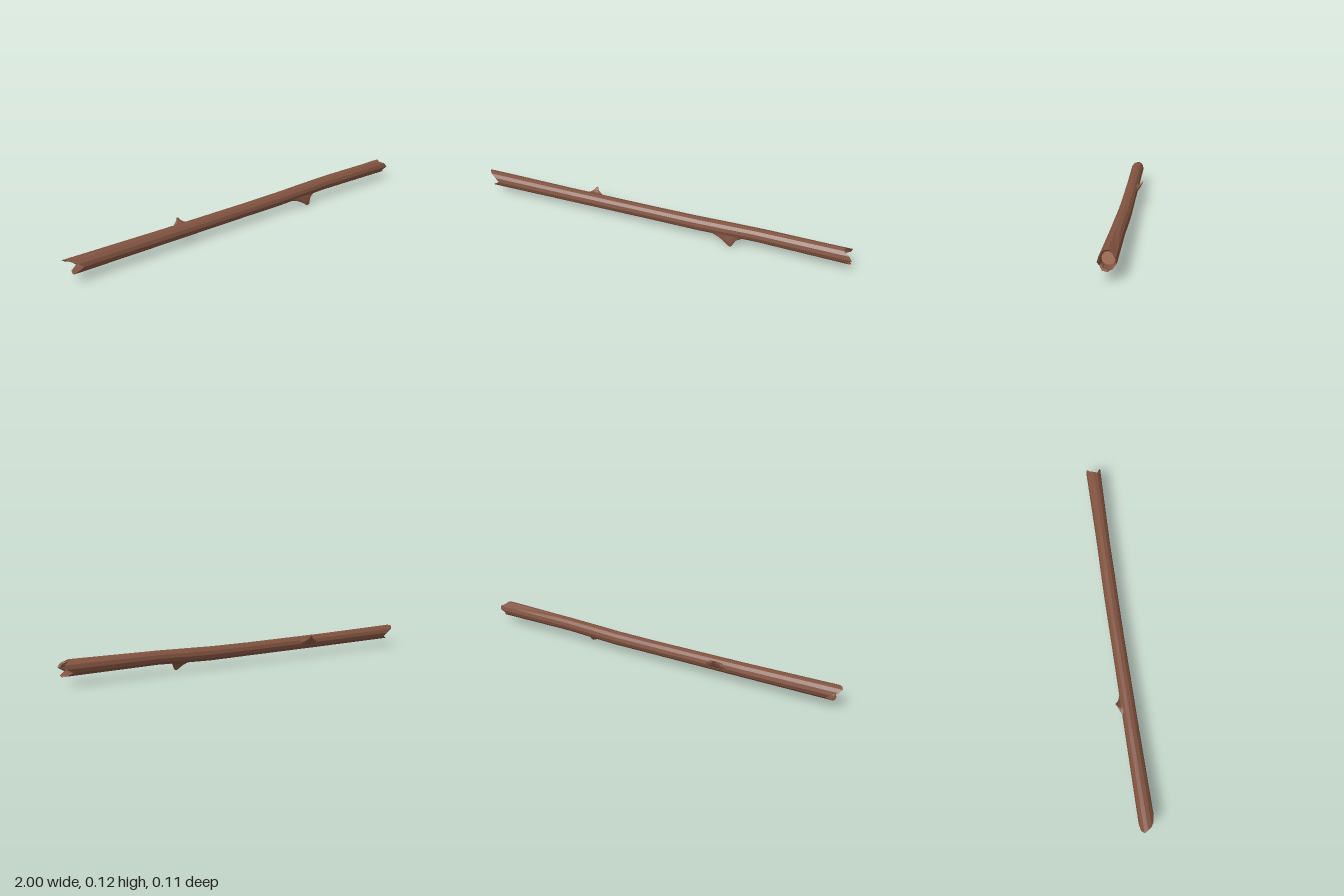
import * as THREE from 'three';

const SIDES = 12;
const V = (x, y, z) => new THREE.Vector3(x, y, z);

// Centre line of the stick: x, y, z, radius
const SPINE = [
  [-1, 0.079, 0.012, 0.039], [-0.5, 0.074, 0.009, 0.036], [0, 0.072, 0.007, 0.035],
  [0.22, 0.072, 0.007, 0.036], [0.36, 0.076, 0.008, 0.036], [0.52, 0.081, 0.009, 0.035],
  [1, 0.081, 0.014, 0.040],
];

// How far each side of the splintered ends reaches, starting at the top and turning to the front
const LEFT_END = [0.99, 0.975, 0.945, 0.92, 0.955, 0.965, 0.965, 0.96, 0.93, 0.95, 0.985, 1].map(v => -v);
const RIGHT_END = [0.96, 0.955, 0.985, 1, 0.97, 0.995, 0.995, 0.975, 0.95, 0.985, 0.99, 0.97];

function spineAt(x) {
  let i = 0;
  while (i < SPINE.length - 2 && x > SPINE[i + 1][0]) i++;
  const a = SPINE[i], b = SPINE[i + 1];
  const t = (x - a[0]) / (b[0] - a[0]);
  return a.map((v, k) => v + (b[k] - v) * t);
}

// Ring around the centre line; xs is one x or one x per side
function ring(xs, scale) {
  return Array.from({ length: SIDES }, (_, i) => {
    const x = Array.isArray(xs) ? xs[i] : xs;
    const [, y, z, r] = spineAt(x);
    // Crack running along the upper back toward the right end
    const crack = i === 11 && x > 0.6 && scale === 1 ? 0.86 : 1;
    const a = (i / SIDES) * Math.PI * 2;
    return V(x, y + Math.cos(a) * r * scale * crack, z + Math.sin(a) * r * scale * crack);
  });
}

// Faceted skin over a row of closed rings
function loft(rings) {
  const pos = [];
  for (let j = 0; j < rings.length - 1; j++) {
    const p = rings[j], q = rings[j + 1], n = p.length;
    for (let i = 0; i < n; i++) {
      const k = (i + 1) % n;
      for (const [a, b, c] of [[p[i], p[k], q[i]], [p[k], q[k], q[i]]]) {
        if (a.equals(b) || b.equals(c) || a.equals(c)) continue;
        pos.push(...a.toArray(), ...b.toArray(), ...c.toArray());
      }
    }
  }
  const g = new THREE.BufferGeometry();
  g.setAttribute('position', new THREE.Float32BufferAttribute(pos, 3));
  g.computeVertexNormals();
  return g;
}

const point = (x, y, z) => Array.from({ length: SIDES }, () => V(x, y, z));

// Flattened thorn: sections are [x, y, z, half width along x, half thickness]
function thorn(sections, dir, tip) {
  const u = V(1, 0, 0);
  const v = dir.clone().normalize().cross(u);
  const rings = sections.map(([x, y, z, w, t]) =>
    Array.from({ length: SIDES }, (_, i) => {
      const a = (i / SIDES) * Math.PI * 2;
      return V(x, y, z).addScaledVector(u, Math.cos(a) * w).addScaledVector(v, Math.sin(a) * t);
    }));
  rings.push(point(...tip));
  return loft(rings);
}

export function createModel() {
  const group = new THREE.Group();
  const bark = new THREE.MeshStandardMaterial({ color: 0x80523f });
  bark.name = 'bark';
  const wood = new THREE.MeshStandardMaterial({ color: 0xb07a60 });
  wood.name = 'cutWood';
  const add = (name, geometry, material) => {
    const mesh = new THREE.Mesh(geometry, material);
    mesh.name = name;
    group.add(mesh);
  };

  // Bark shell, folding inward over both jagged ends
  const leftCore = ring(-0.9, 0.74), rightCore = ring(0.935, 0.74);
  add('barkShell', loft([
    leftCore,
    ring(LEFT_END.map(x => x + 0.008), 0.82),
    ring(LEFT_END, 1),
    ...[-0.88, -0.5, 0, 0.22, 0.36, 0.52, 0.6, 0.88].map(x => ring(x, 1)),
    ring(RIGHT_END, 1),
    ring(RIGHT_END.map(x => x - 0.008), 0.82),
    rightCore,
  ]), bark);

  // Pale wood inside each end
  const centre = x => point(...spineAt(x).slice(0, 3));
  add('leftCore', loft([centre(-0.9), leftCore]), wood);
  add('rightCore', loft([rightCore, centre(0.935)]), wood);

  // Broken twig stubs
  add('lowerTwig', thorn([
    [0.37, 0.054, 0.022, 0.10, 0.020], [0.385, 0.036, 0.035, 0.045, 0.010],
    [0.396, 0.019, 0.041, 0.024, 0.006], [0.402, 0.004, 0.0445, 0.012, 0.002],
  ], V(0, -0.95, 0.3), [0.402, 0, 0.0455]), bark);
  add('backTwig', thorn([
    [-0.37, 0.083, -0.018, 0.07, 0.018], [-0.37, 0.091, -0.033, 0.032, 0.009],
    [-0.37, 0.102, -0.043, 0.014, 0.005], [-0.37, 0.114, -0.051, 0.006, 0.002],
  ], V(0, 0.65, -0.76), [-0.37, 0.117, -0.055]), bark);

  return group;
}
